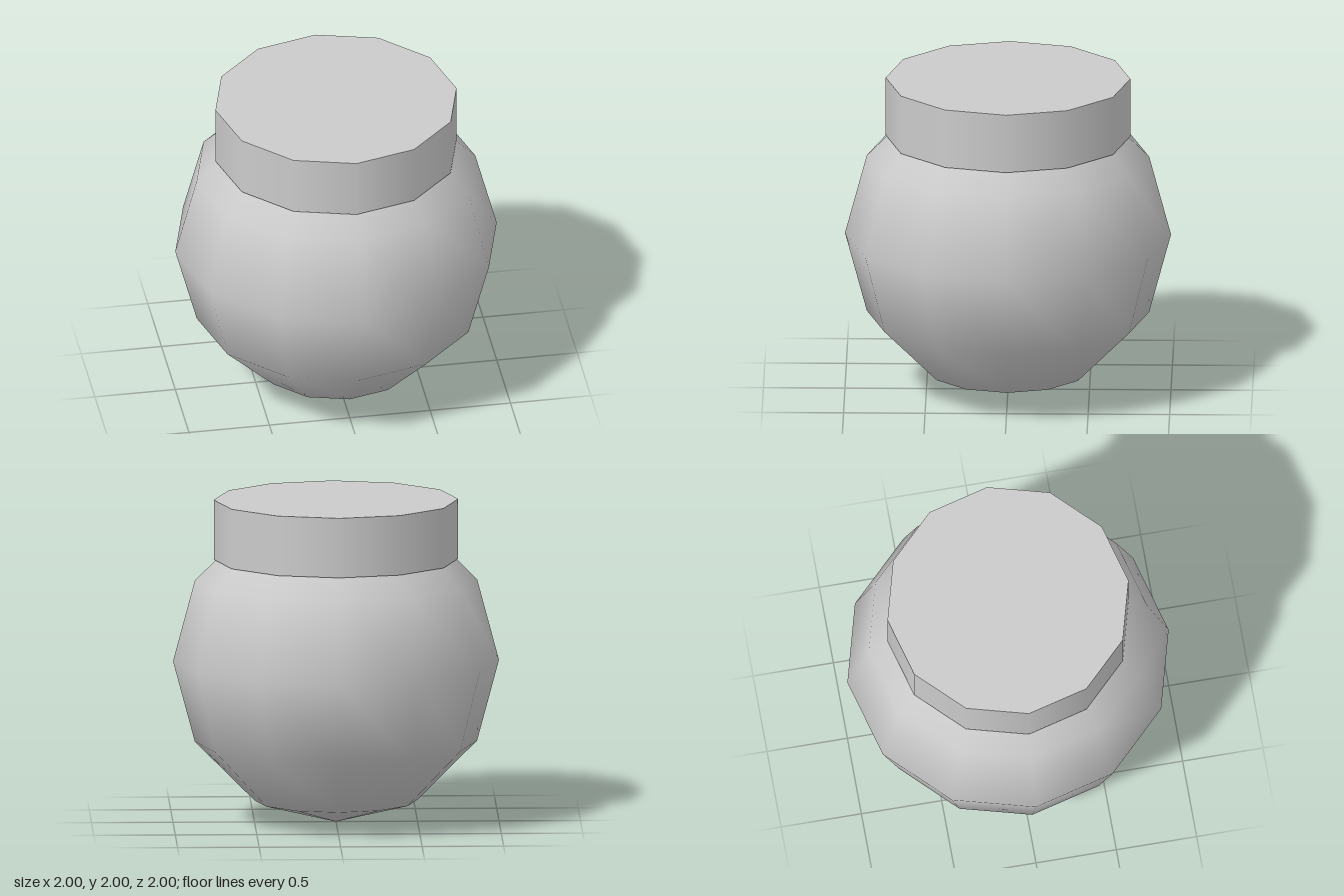
import * as THREE from 'three';

export function createModel() {
  const SIDES = 12;
  const LID_BOTTOM = 1.63;
  const LID_TOP = 2;
  const grey = new THREE.MeshStandardMaterial({ color: 0xcccccc });
  const group = new THREE.Group();
  group.name = 'jar';

  function add(name, geometry, y) {
    const mesh = new THREE.Mesh(geometry, grey);
    mesh.name = name;
    mesh.position.y = y;
    group.add(mesh);
  }

  // Round low-poly body with smooth normals
  add('body', new THREE.SphereGeometry(1, SIDES, SIDES / 2), 1);

  // Flat capped lid, its rim just overhanging the body
  const height = LID_TOP - LID_BOTTOM;
  add('lid', new THREE.CylinderGeometry(0.75, 0.75, height, SIDES), LID_BOTTOM + height / 2);

  return group;
}
